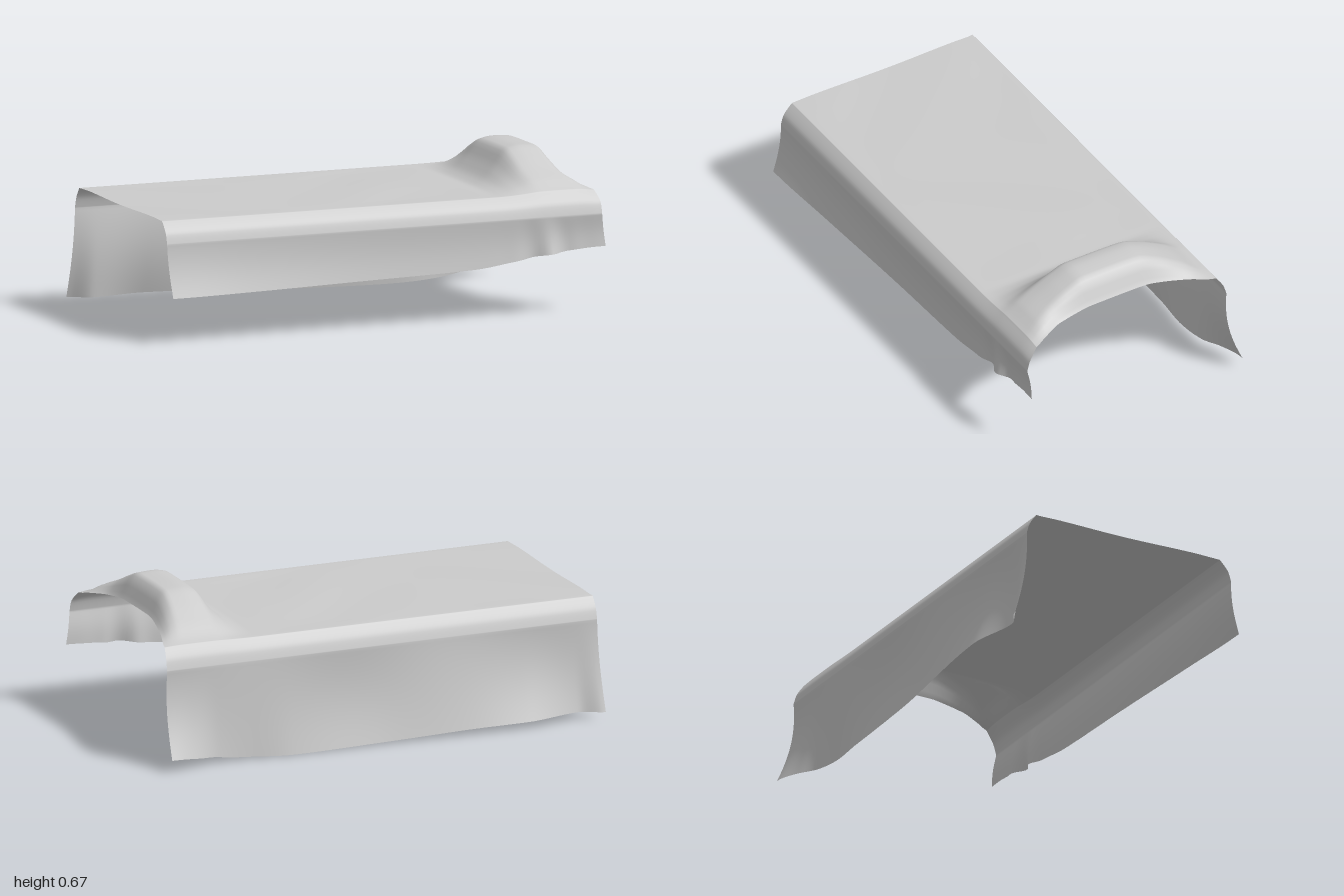
import * as THREE from 'three';

// Smooth monotone interpolation through [position, value] pairs
function profile(pts) {
  const slope = (i) => (pts[i + 1][1] - pts[i][1]) / (pts[i + 1][0] - pts[i][0]);
  const tangent = pts.map((p, i) => {
    if (i === 0 || i === pts.length - 1) return 0;
    const a = slope(i - 1), b = slope(i);
    return a * b <= 0 ? 0 : (2 * a * b) / (a + b);
  });
  return (x) => {
    if (x <= pts[0][0]) return pts[0][1];
    for (let i = 0; i < pts.length - 1; i++) {
      const [x0, y0] = pts[i], [x1, y1] = pts[i + 1];
      if (x > x1) continue;
      const d = x1 - x0, t = (x - x0) / d, s = 1 - t;
      return y0 * (1 + 2 * t) * s * s + y1 * t * t * (3 - 2 * t)
        + d * t * s * (tangent[i] * s - tangent[i + 1] * t);
    }
    return pts[pts.length - 1][1];
  };
}

const TOP = 0.512;
const lerp = THREE.MathUtils.lerp;

// Hems: height and depth along the length
const frontHemY = profile([[-1, 0.198], [0, 0.212], [0.4, 0.222], [0.6, 0.245], [0.75, 0.265], [1, 0.282]]);
const backHemY = profile([[-1, 0.035], [-0.5, 0.03], [0, 0.01], [0.4, 0.002], [0.65, 0.015], [0.8, 0.035], [1, 0.055]]);
const frontHemZ = profile([[-1, 0.548], [-0.6, 0.532], [0, 0.512], [0.6, 0.502], [0.68, 0.492], [0.76, 0.516], [0.84, 0.49], [1, 0.495]]);
const backHemZ = profile([[-1, -0.54], [-0.9, -0.495], [-0.65, -0.54], [-0.3, -0.522], [0, -0.505], [0.4, -0.5], [0.6, -0.483], [0.75, -0.49], [0.86, -0.525], [1, -0.55]]);

// Open end over the pillow, and the pillow's shape along and across
const openEnd = profile([[-0.5, 0.965], [-0.43, 0.955], [-0.3, 0.92], [-0.1, 0.892], [0.15, 0.895], [0.3, 0.905], [0.38, 0.935], [0.45, 0.965], [0.5, 0.98]]);
const pillowAlong = profile([[0.53, 0], [0.58, 0.018], [0.64, 0.075], [0.7, 0.148], [0.76, 0.158], [0.83, 0.154], [0.87, 0.11], [0.9, 0.05]]);
const pillowAcross = profile([[-0.43, 0.03], [-0.32, 0.42], [-0.22, 0.76], [-0.12, 0.98], [0, 1], [0.14, 1], [0.22, 0.82], [0.31, 0.55], [0.4, 0.28], [0.45, 0.08]]);

// Cross-section from front hem over the top to back hem
function sheetPoint(u, v, out) {
  const along = lerp(-1, 0.9, u);
  const x = along < 0.55 ? along : lerp(0.55, 1, (along - 0.55) / 0.35);
  let y, z, drop = 0, front = true;
  if (v < 0.25) {
    drop = 1 - v / 0.25;
    const bow = Math.sin(drop * Math.PI);
    y = lerp(0.42, frontHemY(x), drop);
    z = lerp(0.505, frontHemZ(x), Math.pow(drop, 1.3)) - 0.006 * bow;
    // small folds below the pillow
    z += 0.006 * drop * Math.sin(x * 45) * Math.exp(-Math.pow((x - 0.75) / 0.14, 2));
  } else if (v < 0.35) {
    const t = (v - 0.25) / 0.1;
    z = profile([[0, 0.505], [0.4, 0.492], [1, 0.45]])(t);
    y = profile([[0, 0.42], [0.4, 0.463], [1, TOP]])(t);
  } else if (v < 0.65) {
    z = lerp(0.45, -0.43, (v - 0.35) / 0.3);
    y = TOP;
  } else if (v < 0.75) {
    const t = (v - 0.65) / 0.1;
    z = profile([[0, -0.43], [0.6, -0.463], [1, -0.476]])(t);
    y = profile([[0, TOP], [0.6, 0.463], [1, 0.42]])(t);
    front = false;
  } else {
    drop = (v - 0.75) / 0.25;
    front = false;
    y = lerp(0.42, backHemY(x), drop);
    z = lerp(-0.476, backHemZ(x), Math.pow(drop, 1.6));
    // broad ripples hanging down the long side
    z += Math.sin(drop * Math.PI) * (0.008 + 0.007 * Math.sin(x * 7 + 0.5));
  }
  // pillow swell, fading out on the shoulders
  if (v > 0.25 && v < 0.75) {
    const shoulder = Math.min(1, (v - 0.25) / 0.1, (0.75 - v) / 0.1);
    y += pillowAlong(along) * pillowAcross(z) * shoulder;
    if (shoulder === 1) {
      const edge = Math.min(1, (0.45 - z) / 0.1, (z + 0.43) / 0.1);
      const flat = THREE.MathUtils.smoothstep(0.5 - along, 0, 0.15);
      y += 0.0025 * edge * flat * Math.sin(9 * z + 2.2 * Math.sin(4 * x)) * Math.sin(2.5 * x + 1);
    }
  }
  // trim both ends to their outlines
  const left = front ? lerp(-0.982, -0.972, drop) : lerp(-0.985, -0.997, drop);
  let right = openEnd(z);
  if (drop > 0) right = front ? lerp(0.98, 1, drop) : lerp(0.963, 0.972, drop);
  const px = along < 0.55
    ? lerp(left, 0.55, (along + 1) / 1.55)
    : lerp(0.55, right, (along - 0.55) / 0.35);
  out.set(px, y, z);
}

export function createModel() {
  const group = new THREE.Group();
  group.name = 'drapedBlanket';
  const geometry = new THREE.PlaneGeometry(1, 1, 140, 120);
  const pos = geometry.attributes.position;
  const p = new THREE.Vector3();
  for (let i = 0; i < pos.count; i++) {
    sheetPoint(pos.getX(i) + 0.5, pos.getY(i) + 0.5, p);
    pos.setXYZ(i, p.x, p.y, p.z);
  }
  geometry.computeVertexNormals();
  const blanket = new THREE.Mesh(geometry, new THREE.MeshStandardMaterial({ color: 0xcccccc, side: THREE.DoubleSide }));
  blanket.name = 'blanket';
  group.add(blanket);
  return group;
}
